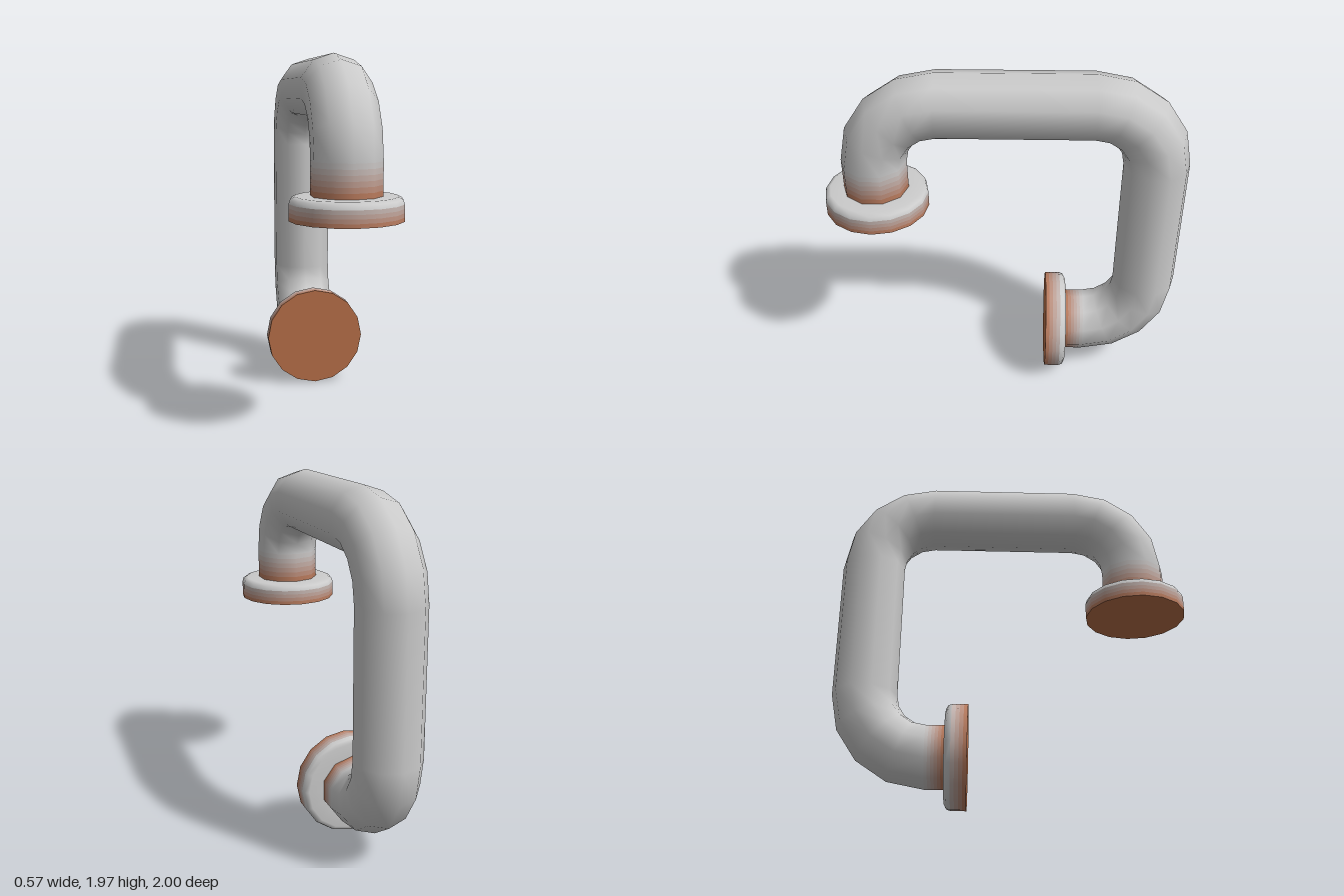
import * as THREE from 'three';

const TUBE_R = 0.18, TUBE_SIDES = 10, BEND_R = 0.35;
const FLANGE_R = 0.287, FLANGE_SIDES = 16, FLANGE_H = 0.12;
const GREY = new THREE.Color(0xcccccc), COPPER = new THREE.Color(0xb87048);

// Grey at t = 0, copper at t = 1
function paint(t = 0) {
  return new THREE.MeshStandardMaterial({ color: GREY.clone().lerp(COPPER, t), side: THREE.DoubleSide });
}

function add(parent, name, geometry, t) {
  const mesh = new THREE.Mesh(geometry, paint(t));
  mesh.name = name;
  parent.add(mesh);
  return mesh;
}

// Open cylinder cut into bands that fade from copper to grey
function fadingCylinder(parent, name, radius, sides, y0, y1, bands, endTint) {
  const h = (y1 - y0) / bands;
  for (let i = 0; i < bands; i++) {
    const t = 1 + (endTint - 1) * (i + 0.5) / bands;
    add(parent, name, new THREE.CylinderGeometry(radius, radius, h, sides, 1, true), t)
      .position.y = y0 + h * (i + 0.5);
  }
}

// Bent tube: rings swept round three quarter bends, straights fall between them
function bentTube() {
  const bendCentres = [[1.435, 0.363], [1.435, -0.47], [0.637, -0.47]]; // y, z
  const steps = 4, pos = [], nor = [], idx = [];
  let rings = 0;
  bendCentres.forEach(([cy, cz], k) => {
    for (let i = 0; i <= steps; i++, rings++) {
      const phi = (k + i / steps) * Math.PI / 2;
      const ny = Math.sin(phi), nz = Math.cos(phi);
      for (let j = 0; j < TUBE_SIDES; j++) {
        const a = j / TUBE_SIDES * Math.PI * 2;
        const out = Math.cos(a), side = Math.sin(a);
        const reach = BEND_R + TUBE_R * out;
        pos.push(TUBE_R * side, cy + reach * ny, cz + reach * nz);
        nor.push(side, out * ny, out * nz);
      }
    }
  });
  for (let i = 0; i < rings - 1; i++) {
    for (let j = 0; j < TUBE_SIDES; j++) {
      const a = i * TUBE_SIDES + j, b = i * TUBE_SIDES + (j + 1) % TUBE_SIDES;
      idx.push(a, b, a + TUBE_SIDES, b, b + TUBE_SIDES, a + TUBE_SIDES);
    }
  }
  const g = new THREE.BufferGeometry();
  g.setAttribute('position', new THREE.Float32BufferAttribute(pos, 3));
  g.setAttribute('normal', new THREE.Float32BufferAttribute(nor, 3));
  g.setIndex(idx);
  return g;
}

// Mounting flange with its collar, built along +y from the mounting face
function flange(name, collarLength) {
  const g = new THREE.Group();
  g.name = name;
  add(g, 'mountingFace', new THREE.CircleGeometry(FLANGE_R, FLANGE_SIDES).rotateX(Math.PI / 2), 1);
  fadingCylinder(g, 'flangeSide', FLANGE_R, FLANGE_SIDES, 0, 0.085, 4, 0.2);
  const rim = [[FLANGE_R, 0.085], [0.279, 0.108], [0.256, FLANGE_H], [TUBE_R - 0.01, FLANGE_H]];
  add(g, 'flangeRim', new THREE.LatheGeometry(rim.map(p => new THREE.Vector2(...p)), FLANGE_SIDES), 0);
  fadingCylinder(g, 'collar', TUBE_R, TUBE_SIDES, FLANGE_H, FLANGE_H + collarLength, 6, 0);
  return g;
}

export function createModel() {
  const model = new THREE.Group();
  model.name = 'bentPipe';
  add(model, 'tube', bentTube(), 0);

  // Upper flange faces down, lower flange faces forward
  const upper = flange('upperFlange', 0.17);
  upper.position.set(0, 1.145, 0.713);
  const lower = flange('lowerFlange', 0.105);
  lower.position.set(0, 0.287, -0.245);
  lower.rotation.x = -Math.PI / 2;
  model.add(upper, lower);
  return model;
}
